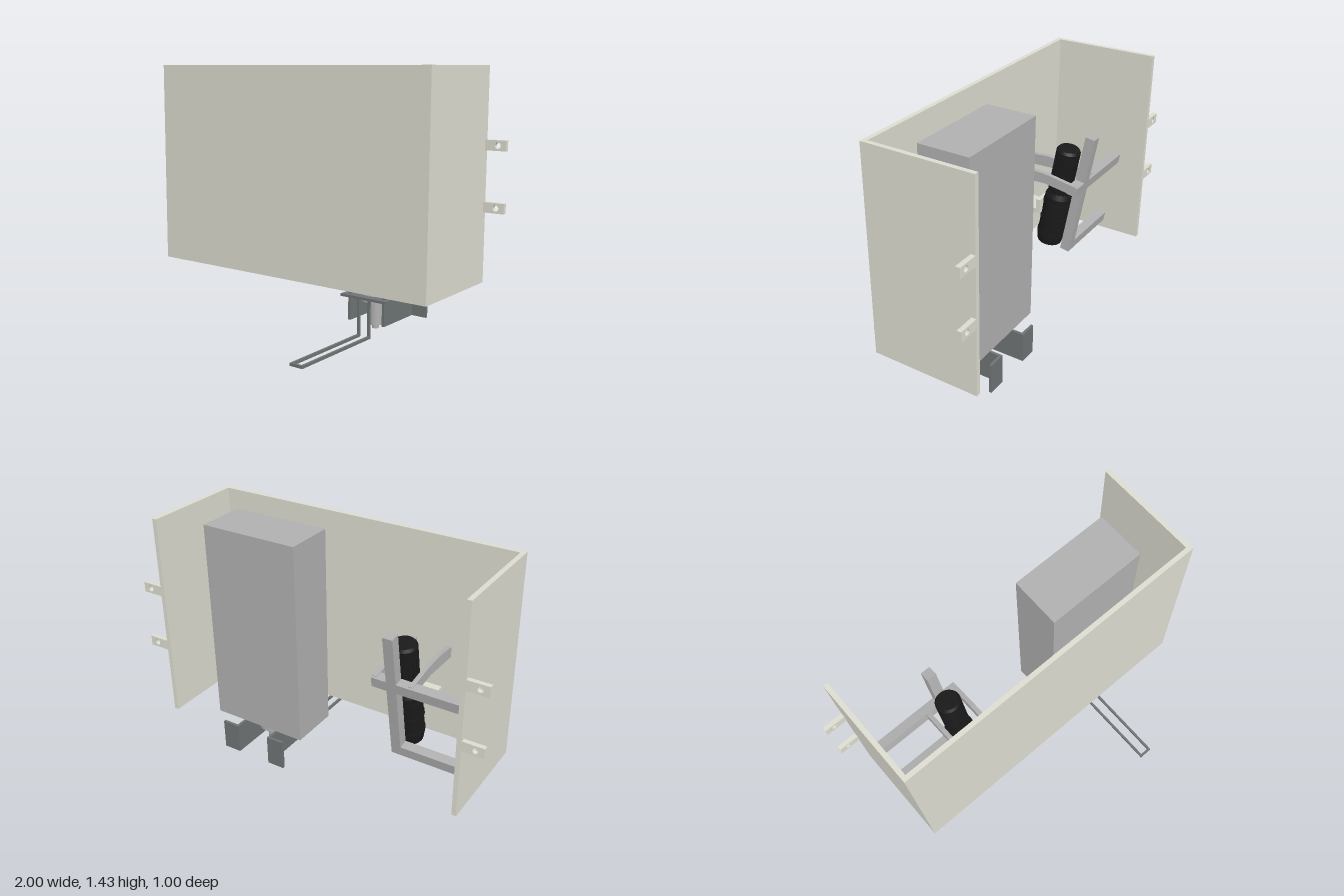
import * as THREE from 'three';

const mat = (color) => new THREE.MeshStandardMaterial({ color });
const cream = mat(0xdcdcd0), grey = mat(0xb0b0b0), steel = mat(0x6e7374), black = mat(0x1a1a1a);

export function createModel() {
  const root = new THREE.Group();

  const add = (name, geometry, material, parent = root) => {
    const mesh = new THREE.Mesh(geometry, material);
    mesh.name = name;
    parent.add(mesh);
    return mesh;
  };
  // Box given by its limits on each axis
  const box = (name, [x0, x1], [y0, y1], [z0, z1], material, parent) => {
    const mesh = add(name, new THREE.BoxGeometry(x1 - x0, y1 - y0, z1 - z0), material, parent);
    mesh.position.set((x0 + x1) / 2, (y0 + y1) / 2, (z0 + z1) / 2);
    return mesh;
  };
  const rod = (name, r, y0, y1, x, z, material) => {
    const mesh = add(name, new THREE.CylinderGeometry(r, r, y1 - y0, 40), material);
    mesh.position.set(x, (y0 + y1) / 2, z);
    return mesh;
  };

  // Folded cover, open at the back, top and bottom
  const outline = new THREE.Shape([
    [-0.885, 0.5], [-0.885, -0.1], [0.885, -0.1], [0.885, 0.5],
    [0.86, 0.5], [0.86, -0.075], [-0.86, -0.075], [-0.86, 0.5],
  ].map(([x, y]) => new THREE.Vector2(x, y)));
  const cover = add('cover', new THREE.ExtrudeGeometry(outline, { depth: 1.14, bevelEnabled: false }), cream);
  cover.rotation.x = -Math.PI / 2;
  cover.position.y = 0.295;

  // Drilled mounting tabs on both back edges
  for (const side of [-1, 1]) {
    for (const y of [0.7025, 1.0275]) {
      const shape = new THREE.Shape();
      shape.moveTo(-0.0575, -0.0275).lineTo(0.0575, -0.0275).lineTo(0.0575, 0.0275).lineTo(-0.0575, 0.0275);
      const hole = new THREE.Path();
      hole.absarc(side * 0.0125, 0, 0.016, 0, Math.PI * 2, true);
      shape.holes.push(hole);
      const tab = add('mountingTab',
        new THREE.ExtrudeGeometry(shape, { depth: 0.025, bevelEnabled: false, curveSegments: 20 }), cream);
      tab.position.set(side * 0.9425, y, -0.5);
    }
  }

  // Tank with outlet below it
  box('tank', [0.13, 0.69], [0.255, 1.39], [-0.34, -0.06], grey);
  rod('outletFlange', 0.085, 0.185, 0.257, 0.41, -0.2, grey);
  rod('outletNozzle', 0.037, 0.05, 0.19, 0.41, -0.2, grey);
  rod('outletTip', 0.018, 0.028, 0.05, 0.41, -0.2, grey);

  // Pair of angle brackets beside the outlet
  for (const side of [-1, 1]) {
    const at = (a, b) => [0.41 + side * a, 0.41 + side * b].sort((p, q) => p - q);
    box('bracketSide', at(0.1, 0.114), [0.075, 0.245], [-0.403, -0.103], steel);
    box('bracketFlange', at(0.114, 0.202), [0.075, 0.245], [-0.403, -0.388], steel);
  }

  // Lever: cross plate, two hanging bars and a long foot loop
  const lever = new THREE.Group();
  lever.name = 'lever';
  root.add(lever);
  box('leverPlate', [0.265, 0.55], [0.207, 0.221], [-0.135, -0.076], steel, lever);
  for (const x of [0.372, 0.436]) {
    box('leverUpright', [x, x + 0.013], [0, 0.221], [-0.09, -0.076], steel, lever);
    box('leverFootBar', [x, x + 0.013], [0, 0.015], [-0.09, 0.5], steel, lever);
  }
  box('leverFootEnd', [0.385, 0.436], [0, 0.015], [0.487, 0.5], steel, lever);

  // Leaning holder frame: a post with cross arms to the side wall
  const tilt = -Math.atan(0.17);
  const holder = new THREE.Group();
  holder.name = 'holder';
  root.add(holder);
  const postZ = (y) => -0.322 - 0.17 * (y - 0.787);
  const beam = (name, w, h, x, y) => {
    const mesh = add(name, new THREE.BoxGeometry(w, h, 0.055), grey, holder);
    mesh.position.set(x, y, postZ(y));
    mesh.rotation.x = tilt;
  };
  beam('post', 0.055, 0.74, -0.432, 0.715);
  beam('upperArm', 0.54, 0.055, -0.59, 0.787);
  beam('lowerArm', 0.455, 0.055, -0.6325, 0.377);

  // Bent arms to the front wall
  const armShape = new THREE.Shape([
    [0.34, 0.76], [0.15, 0.79], [-0.076, 0.783], [-0.076, 0.843], [0.05, 0.853], [0.17, 0.845], [0.34, 0.815],
  ].map(([x, y]) => new THREE.Vector2(-x, y)).reverse());
  for (const x of [-0.545, -0.345]) {
    const arm = add('frontArm', new THREE.ExtrudeGeometry(armShape, { depth: 0.025, bevelEnabled: false }), grey, holder);
    arm.rotation.y = -Math.PI / 2;
    // Shape x runs along +z once turned
    arm.position.x = x + 0.025;
  }

  // Support shelf with a raised lip
  box('shelf', [-0.503, -0.363], [0.565, 0.59], [-0.1, 0.076], cream);
  box('shelfLip', [-0.503, -0.363], [0.59, 0.65], [-0.1, -0.075], cream);

  // Leaning dark canister with stepped ends and ribs
  const canister = new THREE.Group();
  canister.name = 'canister';
  canister.position.set(-0.435, 0.68, -0.183);
  canister.rotation.x = tilt;
  root.add(canister);
  const section = (name, r, y0, y1, r2 = r) => {
    const mesh = add(name, new THREE.CylinderGeometry(r2, r, y1 - y0, 40), black, canister);
    mesh.position.y = (y0 + y1) / 2;
  };
  section('canisterBase', 0.07, -0.31, -0.27, 0.078);
  section('canisterBody', 0.078, -0.27, 0.0);
  section('canisterShoulder', 0.078, 0, 0.03, 0.063);
  section('canisterNeck', 0.063, 0.03, 0.27);
  section('canisterCap', 0.068, 0.24, 0.29);
  section('canisterTop', 0.068, 0.29, 0.305, 0.058);
  for (let i = 0; i < 3; i++) section('canisterRing', 0.082, -0.05 - i * 0.1, -0.035 - i * 0.1);
  for (let i = 0; i < 16; i++) {
    const a = (i / 16) * Math.PI * 2;
    const rib = add('canisterRib', new THREE.BoxGeometry(0.01, 0.2, 0.01), black, canister);
    rib.position.set(Math.sin(a) * 0.063, 0.13, Math.cos(a) * 0.063);
    rib.rotation.y = a;
  }

  return root;
}
